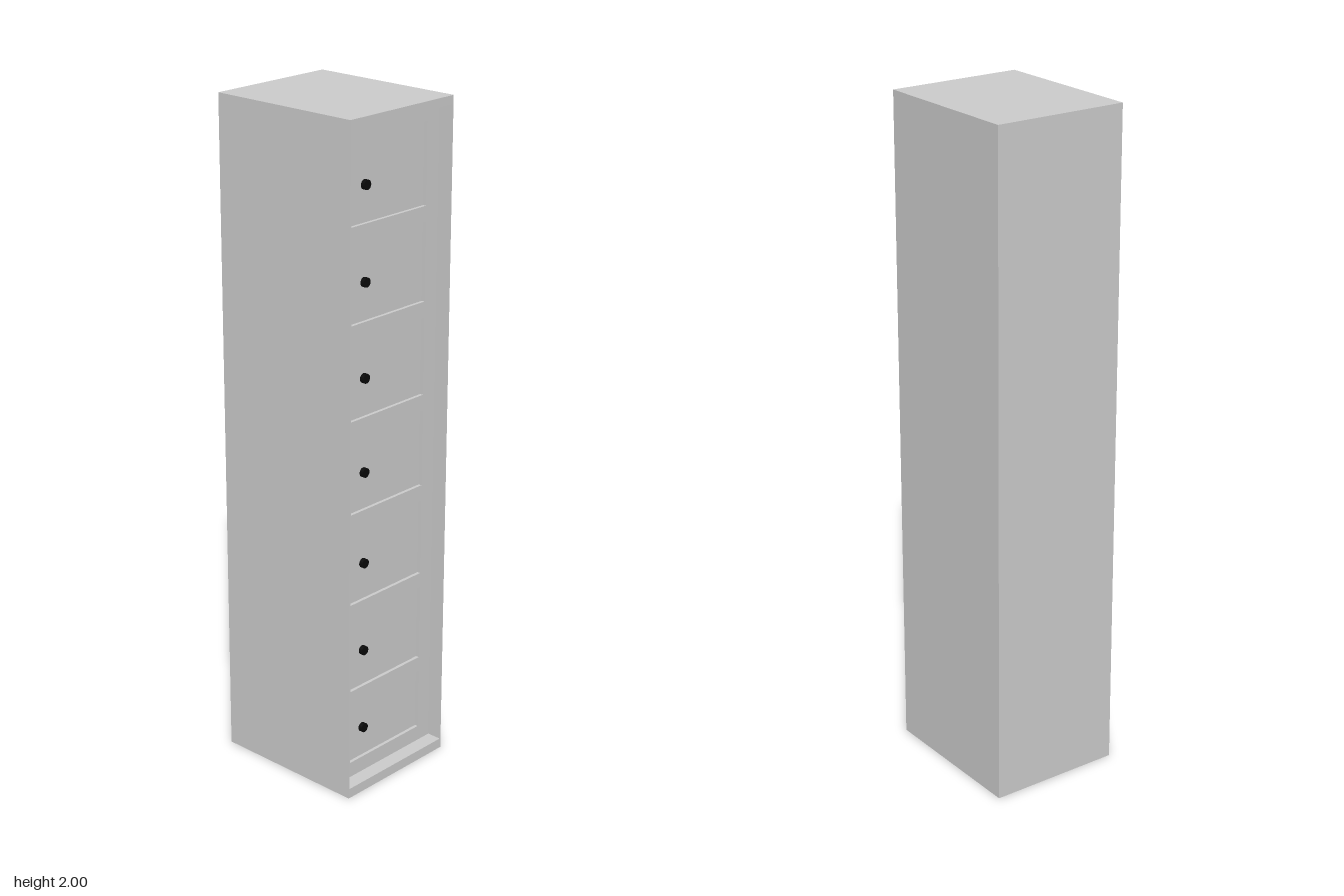
import * as THREE from 'three';

const W = 0.41, H = 2, D = 0.486;
const WALL = 0.004, FLOOR = 0.03, CEILING = 1.975;
const PANEL_Z = D / 2 - 0.045; // front of the recessed face panel
const DOOR_HALF = 0.15, DOOR_INSET = 0.01;

// bottom, top and lock height of each compartment door
const DOORS = [
  [0.077, 0.263, 0.17], [0.31, 0.54, 0.422], [0.586, 0.817, 0.698], [0.865, 1.095, 0.976],
  [1.143, 1.373, 1.255], [1.42, 1.65, 1.53], [1.695, 1.93, 1.8],
];

function rectangle(Type, x0, y0, x1, y1) {
  return new Type([
    new THREE.Vector2(x0, y0), new THREE.Vector2(x1, y0),
    new THREE.Vector2(x1, y1), new THREE.Vector2(x0, y1),
  ]);
}

export function createModel() {
  const group = new THREE.Group();
  const grey = new THREE.MeshStandardMaterial({ color: 0xcccccc });
  const black = new THREE.MeshStandardMaterial({ color: 0x0a0a0a });

  function add(name, geometry, x, y, z, material = grey) {
    const mesh = new THREE.Mesh(geometry, material);
    mesh.name = name;
    mesh.position.set(x, y, z);
    group.add(mesh);
    return mesh;
  }

  // Outer casing: sides, top and base in one full-depth frame
  const inner = W / 2 - WALL;
  const casing = rectangle(THREE.Shape, -W / 2, 0, W / 2, H);
  casing.holes.push(rectangle(THREE.Path, -inner, FLOOR, inner, CEILING));
  add('casing', new THREE.ExtrudeGeometry(casing, { depth: D, bevelEnabled: false }), 0, 0, -D / 2);

  // Back closes the casing flush with its rear edges
  add('backPanel', new THREE.BoxGeometry(inner * 2, CEILING - FLOOR, 0.01),
    0, (CEILING + FLOOR) / 2, -D / 2 + 0.005);

  // Recessed face panel with one opening per door
  const face = rectangle(THREE.Shape, -inner, FLOOR, inner, CEILING);
  for (const [y0, y1] of DOORS) {
    face.holes.push(rectangle(THREE.Path, -DOOR_HALF, y0, DOOR_HALF, y1));
  }
  const faceDepth = 0.02;
  add('facePanel', new THREE.ExtrudeGeometry(face, { depth: faceDepth, bevelEnabled: false }),
    0, 0, PANEL_Z - faceDepth);

  // Doors set slightly back in their openings, each with a round lock
  const doorDepth = 0.01, lockDepth = 0.012;
  DOORS.forEach(([y0, y1, lockY], i) => {
    const doorZ = PANEL_Z - DOOR_INSET;
    add(`door${i + 1}`, new THREE.BoxGeometry(DOOR_HALF * 2, y1 - y0, doorDepth),
      0, (y0 + y1) / 2, doorZ - doorDepth / 2);
    const lock = add(`lock${i + 1}`, new THREE.CylinderGeometry(0.014, 0.014, lockDepth, 16),
      -0.09, lockY, doorZ + lockDepth / 2, black);
    lock.rotation.x = Math.PI / 2;
  });

  return group;
}
